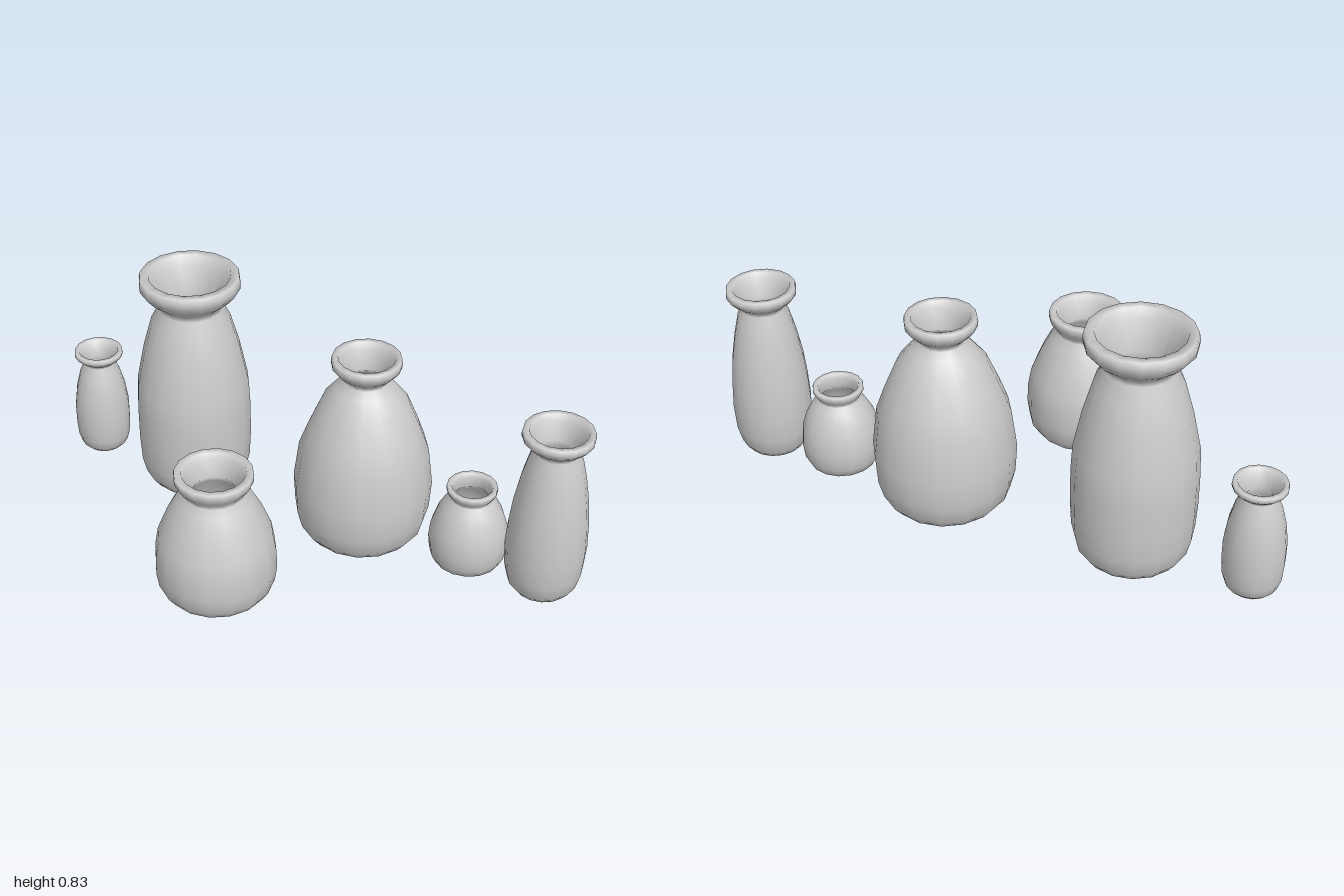
import * as THREE from 'three';

const SIDES = 16;

// Rounded foot: share of the swell from foot to belly, at a share of the belly's height
const FOOT_CURVE = [[0, 0], [0.55, 0.17], [0.88, 0.49], [1, 1]];
// Flared lip: share of the flare beyond the neck, at a share of the lip's height
const LIP_CURVE = [[0, 0.15], [0.6, 0.42], [0.97, 0.65], [1, 0.82], [0.94, 1]];

// Hollow vase turned as one profile; foot, belly, neck, lip and shoulder points are [radius, height]
function vase(name, x, z, { foot, belly, shoulder, neck, lip, throat }) {
  const blend = (curve, [r0, y0], [r1, y1]) =>
    curve.map(([u, v]) => [r0 + (r1 - r0) * u, y0 + (y1 - y0) * v]);
  const lower = blend(FOOT_CURVE, foot, belly);
  const wall = neck[0] - throat;
  const floor = foot[1] + wall * 0.8;

  // Inner wall follows the body, one wall thickness in
  const inner = [...lower.slice(1), ...shoulder].reverse().map(([r, y]) => [r - wall * 1.1, y]);
  const profile = [
    [0, foot[1]], ...lower, ...shoulder, neck,
    ...blend(LIP_CURVE, neck, lip),
    [lip[0] * 0.81, lip[1]],
    [lip[0] * 0.76, lip[1] + (neck[1] - lip[1]) * 0.3],
    [throat, neck[1]],
    ...inner,
    [foot[0] - wall, floor], [0, floor],
  ].map(([r, y]) => new THREE.Vector2(r, y));

  const material = new THREE.MeshStandardMaterial({ color: 0xcccccc, side: THREE.DoubleSide });
  const mesh = new THREE.Mesh(new THREE.LatheGeometry(profile, SIDES), material);
  mesh.name = name;
  mesh.position.set(x, 0, z);
  return mesh;
}

export function createModel() {
  const group = new THREE.Group();
  group.name = 'vaseSet';

  // Back row, from right to left
  group.add(vase('tinySlimVase', -0.9, -0.255, {
    foot: [0.068, 0], belly: [0.1, 0.11],
    shoulder: [[0.1, 0.18], [0.09, 0.255], [0.073, 0.32]],
    neck: [0.056, 0.358], lip: [0.088, 0.41], throat: 0.04,
  }));
  group.add(vase('tallWideVase', -0.494, -0.254, {
    foot: [0.162, 0.012], belly: [0.204, 0.2],
    shoulder: [[0.204, 0.32], [0.199, 0.415], [0.171, 0.55], [0.14, 0.66]],
    neck: [0.113, 0.712], lip: [0.176, 0.835], throat: 0.083,
  }));
  group.add(vase('largeRoundVase', 0.183, -0.256, {
    foot: [0.19, 0.012], belly: [0.24, 0.215],
    shoulder: [[0.222, 0.353], [0.192, 0.435], [0.148, 0.54], [0.1, 0.6]],
    neck: [0.075, 0.622], lip: [0.119, 0.71], throat: 0.057,
  }));
  group.add(vase('smallRoundVase', 0.588, -0.255, {
    foot: [0.09, 0.012], belly: [0.136, 0.11],
    shoulder: [[0.131, 0.165], [0.113, 0.22], [0.09, 0.262]],
    neck: [0.071, 0.282], lip: [0.086, 0.328], throat: 0.058,
  }));
  group.add(vase('slimVase', 0.862, -0.255, {
    foot: [0.095, 0.012], belly: [0.136, 0.19],
    shoulder: [[0.131, 0.28], [0.122, 0.37], [0.105, 0.465], [0.087, 0.54]],
    neck: [0.075, 0.567], lip: [0.118, 0.645], throat: 0.057,
  }));

  // Single vase standing in front
  group.add(vase('squatVase', -0.088, 0.287, {
    foot: [0.135, 0.012], belly: [0.204, 0.12],
    shoulder: [[0.202, 0.19], [0.191, 0.255], [0.157, 0.34], [0.125, 0.4]],
    neck: [0.106, 0.425], lip: [0.131, 0.498], throat: 0.07,
  }));
  return group;
}
